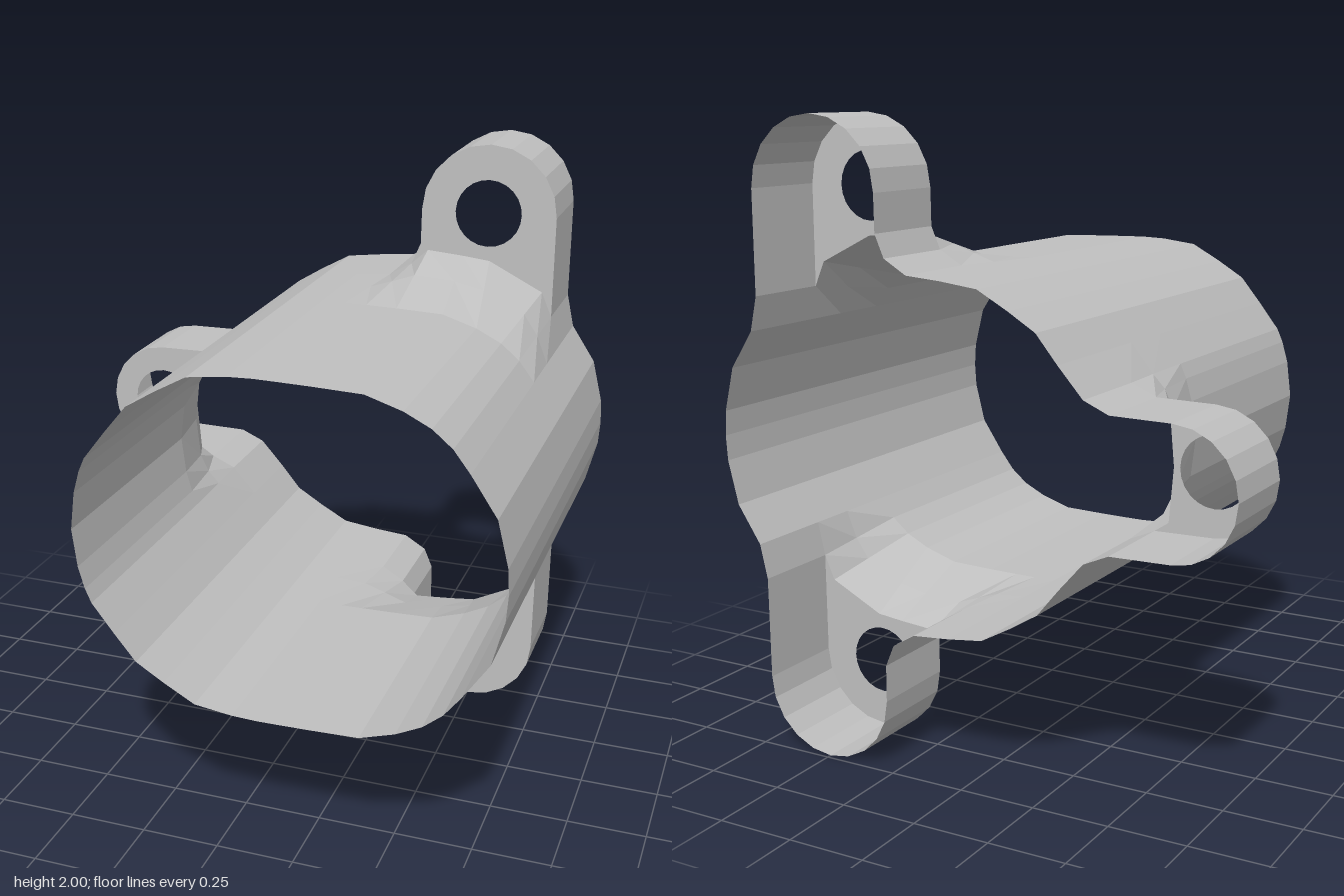
import * as THREE from 'three';

const FRONT = 0.735, RAMP = -0.08, PLATE = -0.44, BACK = -0.735;

// Upper half section, right to left: barrel x, y, then flared x, y at the ear plates
const HALF = [
  [0.87, 1.0], [0.865, 1.08], [0.83, 1.22], [0.75, 1.34],
  [0.70, 1.405, 0.725, 1.45], [0.64, 1.455, 0.69, 1.53],
  [0.56, 1.495, 0.51, 1.62], [0.45, 1.53, 0.42, 1.63],
  [0.30, 1.535, 0.30, 1.64], [0.20, 1.537, 0.245, 1.59],
  [0.13, 1.538, 0.17, 1.545], [0.05, 1.535], [-0.07, 1.52],
  [-0.17, 1.465], [-0.26, 1.41], [-0.33, 1.325],
  [-0.40, 1.235, -0.41, 1.235], [-0.42, 1.19, -0.49, 1.20],
  [-0.44, 1.12, -0.535, 1.17], [-0.455, 1.0, -0.55, 1.0],
];

const mirrorY = (p) => new THREE.Vector2(p.x, 2 - p.y);
// Close an upper half into a full ring
const fullRing = (half) => [...half, ...half.slice(1, -1).reverse().map(mirrorY)];

function arc(cx, cy, r, from, to, n) {
  const pts = [];
  for (let i = 0; i <= n; i++) {
    const a = from + (to - from) * i / n;
    pts.push(new THREE.Vector2(cx + r * Math.cos(a), cy + r * Math.sin(a)));
  }
  return pts;
}

// Faceted open skin through rings of equal length
function skin(rings) {
  const pos = [];
  for (let k = 0; k < rings.length - 1; k++) {
    const [a, za] = rings[k], [b, zb] = rings[k + 1];
    for (let i = 0; i < a.length; i++) {
      const j = (i + 1) % a.length;
      pos.push(a[i].x, a[i].y, za, b[i].x, b[i].y, zb, b[j].x, b[j].y, zb);
      pos.push(a[i].x, a[i].y, za, b[j].x, b[j].y, zb, a[j].x, a[j].y, za);
    }
  }
  const g = new THREE.BufferGeometry();
  g.setAttribute('position', new THREE.Float32BufferAttribute(pos, 3));
  g.computeVertexNormals();
  return g;
}

// Flat ear face with a bolt hole
function earPlate(points, cx, cy) {
  const shape = new THREE.Shape(points);
  shape.holes.push(new THREE.Path().absarc(cx, cy, 0.11, 0, Math.PI * 2, true));
  return new THREE.ShapeGeometry(shape, 12).translate(0, 0, PLATE);
}

export function createModel() {
  const group = new THREE.Group();
  const grey = new THREE.MeshStandardMaterial({ color: 0xc0c0c0, side: THREE.DoubleSide });
  const add = (name, geometry) => {
    const mesh = new THREE.Mesh(geometry, grey);
    mesh.name = name;
    group.add(mesh);
  };

  const barrel = HALF.map(([x, y]) => new THREE.Vector2(x, y));
  const flare = HALF.map(([x, y, fx = x, fy = y]) => new THREE.Vector2(fx, fy));
  // The side ramp bulges inward halfway, the others run straight
  const middle = barrel.map((p, i) => p.clone().lerp(flare[i], p.x < -0.3 ? 0.32 : 0.55));

  // Barrel and ramps
  const tube = fullRing(barrel);
  add('barrel', skin([[tube, FRONT], [tube, RAMP]]));
  add('earRamps', skin([[tube, RAMP], [fullRing(middle), -0.28], [fullRing(flare), PLATE]]));

  // Ear outlines
  const topArc = [...arc(0.5, 1.777, 0.224, 0, Math.PI, 10), new THREE.Vector2(0.275, 1.66)];
  const sideArc = arc(-0.68, 1, 0.197, Math.PI / 2, Math.PI, 5);

  // Flange wall around barrel and ears, open at the back
  const outline = fullRing([
    ...flare.slice(0, 5), ...topArc, ...flare.slice(9, 18), ...sideArc,
  ]);
  add('flangeWall', skin([[outline, PLATE], [outline, BACK]]));

  // Ear faces
  const topEar = [flare[4], ...topArc, ...flare.slice(5, 10).reverse()];
  add('topEar', earPlate(topEar, 0.5, 1.777));
  add('bottomEar', earPlate(topEar.map(mirrorY).reverse(), 0.5, 0.223));
  const upper = [flare[17], ...sideArc];
  const sideEar = [
    ...upper, ...upper.slice(0, -1).reverse().map(mirrorY),
    mirrorY(flare[18]), flare[19], flare[18],
  ];
  add('sideEar', earPlate(sideEar, -0.68, 1));

  return group;
}
